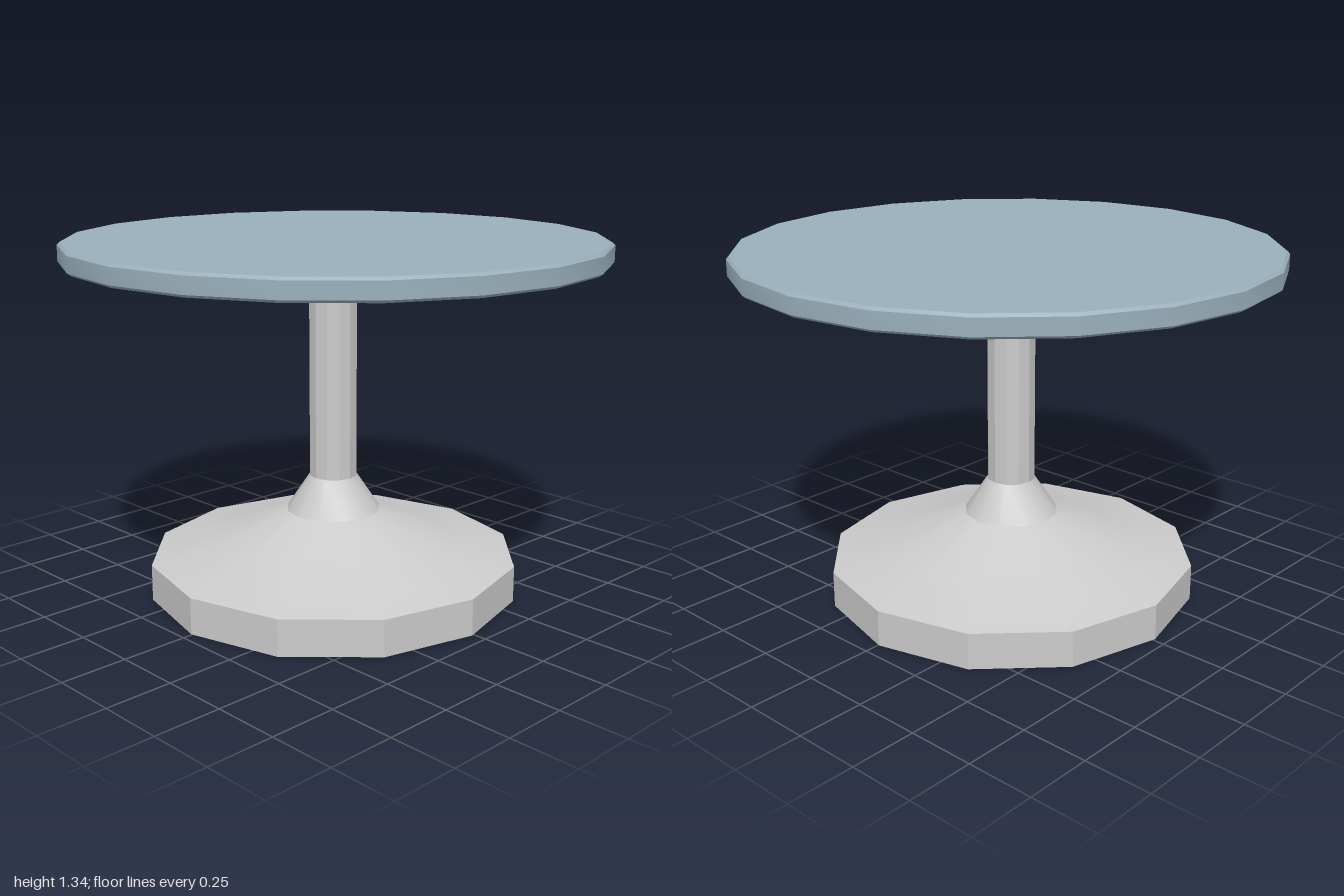
import * as THREE from 'three';
import { toCreasedNormals } from 'three/addons/utils/BufferGeometryUtils.js';

// Turned part from [radius, height] pairs listed bottom to top
function turned(name, profile, sides, crease, color) {
  const points = profile.map(([r, y]) => new THREE.Vector2(r, y));
  const geometry = toCreasedNormals(new THREE.LatheGeometry(points, sides), crease);
  const mesh = new THREE.Mesh(geometry, new THREE.MeshStandardMaterial({ color }));
  mesh.name = name;
  return mesh;
}

export function createModel() {
  const table = new THREE.Group();
  table.name = 'pedestalTable';

  // Round top with a small bevel on both rims
  const top = turned('tableTop', [
    [0, 1.265], [0.987, 1.265], [1, 1.275], [1, 1.334], [0.99, 1.344], [0, 1.344],
  ], 20, 0.48, 0x9ab0bc);

  // Twelve-sided foot, column and flared collar, set slightly off centre
  const pedestal = turned('pedestal', [
    [0, 0], [0.702, 0], [0.702, 0.137], [0.45, 0.193], [0.18, 0.31],
    [0.091, 0.444], [0.091, 1.16], [0.12, 1.21], [0.208, 1.266],
  ], 12, 0.48, 0xcccccc);
  pedestal.position.set(-0.004, 0, 0.01);

  table.add(top, pedestal);
  return table;
}
